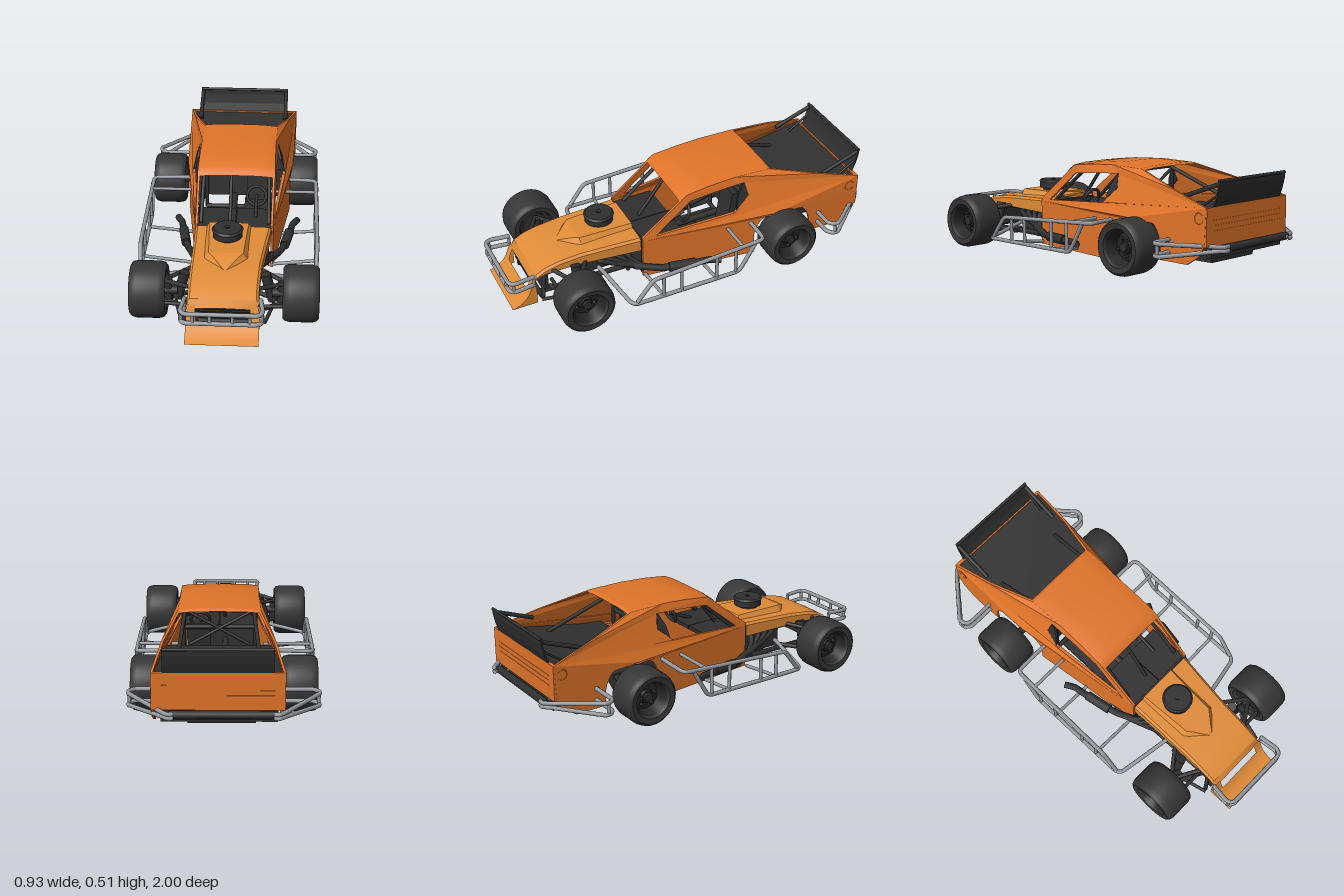
import * as THREE from 'three';
import { toCreasedNormals } from 'three/addons/utils/BufferGeometryUtils.js';

const mat = (name, color, side = THREE.FrontSide) => {
  const m = new THREE.MeshStandardMaterial({ color, side });
  m.name = name;
  return m;
};
const V = (x, y, z) => new THREE.Vector3(x, y, z);
const lerp = THREE.MathUtils.lerp;
const flatShape = pts => new THREE.Shape(pts.map(p => new THREE.Vector2(...p)));

export function createModel() {
  const car = new THREE.Group();
  const orange = mat('body orange', 0xe07429, THREE.DoubleSide);
  const amber = mat('hood amber', 0xe08c38, THREE.DoubleSide);
  const black = mat('chassis black', 0x303030, THREE.DoubleSide);
  const rubber = mat('tyre rubber', 0x363636);
  const rimDark = mat('rim dark', 0x262626, THREE.DoubleSide);
  const steel = mat('bar steel', 0x95989d);

  const add = (name, geo, m, x = 0, y = 0, z = 0, parent = car) => {
    const mesh = new THREE.Mesh(geo, m);
    mesh.name = name;
    mesh.position.set(x, y, z);
    parent.add(mesh);
    return mesh;
  };
  const box = (name, m, x0, x1, y0, y1, z0, z1) =>
    add(name, new THREE.BoxGeometry(x1 - x0, y1 - y0, z1 - z0), m, (x0 + x1) / 2, (y0 + y1) / 2, (z0 + z1) / 2);
  // Straight bar between two points
  const bar = (name, m, a, b, r = 0.009) => {
    const p = V(...a), q = V(...b), d = q.clone().sub(p);
    const mesh = add(name, new THREE.CylinderGeometry(r, r, d.length(), 10), m);
    mesh.position.copy(p).add(q).multiplyScalar(0.5);
    mesh.quaternion.setFromUnitVectors(V(0, 1, 0), d.normalize());
  };
  // Bent tube through points
  const pipe = (name, m, pts, r = 0.011, tension = 0.12) => {
    const curve = new THREE.CatmullRomCurve3(pts.map(p => V(...p)), false, 'catmullrom', tension);
    return add(name, new THREE.TubeGeometry(curve, pts.length * 10, r, 8), m);
  };
  const mirrorX = (s, pts, cx = 0) => pts.map(([x, y, z]) => [cx + s * x, y, z]);
  // Skin over rows of [x, y, z] points
  const loft = (name, m, rows, crease = 0.5) => {
    const n = rows[0].length, index = [];
    for (let i = 0; i < rows.length - 1; i++)
      for (let j = 0; j < n - 1; j++) {
        const a = i * n + j, c = a + n;
        index.push(a, c, a + 1, a + 1, c, c + 1);
      }
    const g = new THREE.BufferGeometry();
    g.setAttribute('position', new THREE.Float32BufferAttribute(rows.flat(2), 3));
    g.setIndex(index);
    return add(name, toCreasedNormals(g, crease), m);
  };

  // Body plan: widens to the rear, leans in towards the roof, offset to +x
  const CX = 0.025;
  const lean = z => z > 0.05 ? 0.14 : z > -0.44 ? lerp(0.14, 0.4, (0.05 - z) / 0.49) : lerp(0.4, 0, (-0.44 - z) / 0.5);
  const plan = z => z > -0.45 ? lerp(0.2, 0.296, (0.28 - z) / 0.73) : lerp(0.296, 0.31, (-0.45 - z) / 0.48);
  const halfWidth = (z, y) => plan(z) - Math.max(0, y - 0.27) * lean(z);
  const sidePanel = (name, m, s, pts, hole) => {
    const shape = flatShape(pts);
    if (hole) shape.holes.push(flatShape(hole));
    const g = new THREE.ExtrudeGeometry(shape, { depth: 0.012, bevelEnabled: false });
    const p = g.attributes.position;
    for (let i = 0; i < p.count; i++) {
      const z = p.getX(i), y = p.getY(i), w = p.getZ(i);
      p.setXYZ(i, CX + s * (halfWidth(z, y) - w), y, z);
    }
    if (s < 0) for (let i = 0; i < p.count; i += 3) {
      const a = V().fromBufferAttribute(p, i + 1), b = V().fromBufferAttribute(p, i + 2);
      p.setXYZ(i + 1, b.x, b.y, b.z);
      p.setXYZ(i + 2, a.x, a.y, a.z);
    }
    g.computeVertexNormals();
    add(name, g, m);
  };
  const arch = [];
  for (let i = 0; i <= 16; i++) {
    const a = lerp(-0.15, Math.PI + 0.05, i / 16);
    arch.push([-0.49 + 0.162 * Math.cos(a), Math.min(0.145 + 0.162 * Math.sin(a), 0.262)]);
  }
  for (const s of [-1, 1]) {
    sidePanel('lowerSide', orange, s, [[0.28, 0.27], [0.28, 0.04], [-0.33, 0.04], ...arch, [-0.65, 0.09], [-0.82, 0.09], [-0.9, 0.14], [-0.925, 0.19], [-0.93, 0.27], [-0.45, 0.27]]);
    sidePanel('upperSide', orange, s,
      [[0.28, 0.27], [0.28, 0.285], [0.03, 0.483], [-0.1, 0.498], [-0.25, 0.505], [-0.44, 0.5], [-0.7, 0.432], [-0.935, 0.368], [-0.93, 0.27], [-0.45, 0.27], [0.05, 0.27]],
      [[0.21, 0.285], [0.015, 0.443], [-0.14, 0.457], [-0.295, 0.465], [-0.308, 0.395], [-0.22, 0.318]]);
    sidePanel('quarterVent', black, s, [[-0.235, 0.33], [-0.25, 0.4], [-0.285, 0.462], [-0.295, 0.46], [-0.306, 0.396]]);
    const ring = add('fillerRing', new THREE.TorusGeometry(0.026, 0.003, 6, 24), orange, CX + s * halfWidth(-0.89, 0.31), 0.315, -0.89);
    ring.rotation.y = Math.PI / 2;
  }
  // Roof with a slight crown
  loft('roof', orange, [[-0.455, 0.49], [-0.44, 0.501], [-0.25, 0.506], [-0.1, 0.499], [0.03, 0.484], [0.06, 0.464], [0.072, 0.45]].map(([z, y]) =>
    [-1, -0.92, -0.6, 0, 0.6, 0.92, 1].map(t => [CX + t * halfWidth(z, y), y + 0.01 * (1 - t ** 4), z])));
  // Tail panel with faint ribs and dark tubular bumper
  box('tailPanel', orange, CX - 0.309, CX + 0.309, 0.185, 0.368, -0.938, -0.92);
  for (let i = 0; i < 3; i++) box('tailRib', orange, CX - 0.26, CX + 0.26, 0.255 + i * 0.025, 0.258 + i * 0.025, -0.94, -0.938);
  box('lowerTail', black, -0.25, 0.29, 0.125, 0.185, -0.93, -0.9);
  bar('rearBumper', black, [-0.25, 0.172, -0.962], [0.25, 0.172, -0.962], 0.02);
  box('fuelCell', black, -0.15, 0.17, 0.078, 0.22, -0.84, -0.66);

  // Rear deck, cockpit bulkhead and spoiler
  loft('rearDeck', black, [[-0.93, 0.362], [-0.46, 0.292], [-0.34, 0.285], [-0.32, 0.13]].map(([z, y]) =>
    [-1, 1].map(t => [CX + t * (halfWidth(z, y) - 0.013), y, z])), 0.1);
  const blade = flatShape([[-0.925, 0.362], [-0.945, 0.41], [-0.957, 0.46], [-0.96, 0.493], [-0.968, 0.493], [-0.965, 0.46], [-0.953, 0.41], [-0.935, 0.362]]);
  const spoiler = add('spoiler', new THREE.ExtrudeGeometry(blade, { depth: 0.51, bevelEnabled: false }), black, 0.28, 0, 0);
  spoiler.rotation.y = -Math.PI / 2;
  bar('spoilerLip', black, [-0.23, 0.49, -0.964], [0.28, 0.49, -0.964], 0.008);
  for (const x of [-0.22, 0.27]) {
    bar('spoilerStrut', black, [x, 0.4, -0.75], [x, 0.475, -0.958], 0.011);
    bar('spoilerStay', black, [x, 0.35, -0.84], [x, 0.42, -0.945], 0.006);
  }

  // Hood with rolled edges and dropped nose
  loft('hood', amber, [[0.285, -0.172, 0.215, 0.28], [0.45, -0.17, 0.195, 0.272], [0.6, -0.17, 0.178, 0.264], [0.72, -0.17, 0.172, 0.25],
    [0.79, -0.17, 0.17, 0.232], [0.84, -0.17, 0.17, 0.205], [0.862, -0.17, 0.17, 0.165]].map(([z, l, r, y]) => {
    const low = Math.min(0.205, y - 0.02);
    return [[l, low, z], [l, y - 0.012, z], [l + 0.012, y, z], [0, y + 0.004, z], [r - 0.012, y, z], [r, y - 0.012, z], [r, low, z]];
  }));
  loft('hoodScoop', amber, [[0.285, 0.13, 0.1, 0.303], [0.57, 0.118, 0.085, 0.297], [0.6, 0.095, 0.06, 0.29], [0.672, 0.006, 0.003, 0.258]].map(([z, b, t, y]) =>
    [[-b, 0.25, z], [-t, y, z], [t, y, z], [b, 0.25, z]]), 0.2);
  add('airCleanerBase', new THREE.CylinderGeometry(0.06, 0.055, 0.02, 32), black, 0, 0.306, 0.425);
  add('airCleaner', new THREE.CylinderGeometry(0.074, 0.074, 0.036, 32), black, 0, 0.33, 0.425);
  add('airCleanerLid', new THREE.CylinderGeometry(0.07, 0.079, 0.01, 32), black, 0, 0.351, 0.425);
  add('airCleanerNut', new THREE.CylinderGeometry(0.012, 0.012, 0.008, 12), black, 0, 0.358, 0.425);

  // Nose skirt with central opening and end plates
  const strip = (x0, x1, pts) => loft('noseSkirt', amber, pts.map(([z, y]) => [[x0, y, z], [x1, y, z]]), 0.7);
  strip(-0.175, 0.175, [[0.885, 0.11], [0.905, 0.08], [0.94, 0.055], [0.98, 0.04]]);
  for (const s of [-1, 1]) {
    strip(Math.min(s * 0.13, s * 0.175), Math.max(s * 0.13, s * 0.175), [[0.858, 0.185], [0.87, 0.15], [0.885, 0.11]]);
    const end = flatShape([[0.845, 0.16], [0.845, 0.04], [0.98, 0.04], [0.94, 0.055], [0.905, 0.08], [0.885, 0.11], [0.868, 0.155]]);
    const plate = add('skirtEnd', new THREE.ShapeGeometry(end), amber, s * 0.174, 0, 0);
    plate.rotation.y = -Math.PI / 2;
  }
  box('radiator', black, -0.14, 0.14, 0.07, 0.19, 0.77, 0.8);
  for (let i = 0; i < 3; i++) box('grilleBar', black, -0.13, 0.13, 0.118 + i * 0.017, 0.124 + i * 0.017, 0.845, 0.852);

  // Front bumper
  for (const y of [0.169, 0.219]) pipe('frontBumper', steel, [[-0.18, y, 0.855], [-0.192, y, 0.95], [-0.185, y, 0.975], [-0.16, y, 0.988], [0.16, y, 0.988], [0.185, y, 0.975], [0.192, y, 0.95], [0.18, y, 0.855]], 0.011);
  for (const [x, z] of [[0.053, 0.987], [0.133, 0.987], [0.187, 0.968], [0.181, 0.86]])
    for (const s of [-1, 1]) bar('bumperPost', steel, [s * x, 0.169, z], [s * x, 0.219, z], 0.009);

  for (const s of [-1, 1]) {
    const B = (name, m, a, b, r) => bar(name, m, ...mirrorX(s, [a, b]), r);
    // Side guard rails
    pipe('sideRailTop', steel, mirrorX(s, [[0.25, 0.245, -0.305], [0.42, 0.24, -0.305], [0.447, 0.238, -0.28], [0.45, 0.205, 0.3], [0.45, 0.192, 0.335], [0.446, 0.09, 0.415]]));
    pipe('sideRailLow', steel, mirrorX(s, [[0.15, 0.13, 0.5], [0.2, 0.125, 0.49], [0.42, 0.085, 0.445], [0.448, 0.08, 0.41], [0.45, 0.08, -0.13], [0.45, 0.095, -0.17], [0.45, 0.232, -0.25]]));
    for (const z of [0.27, 0.17, -0.03, -0.14]) B('railPost', steel, [0.45, 0.08, z], [0.45, 0.205 + (0.31 - z) * 0.055, z]);
    for (const [z, y0, y1] of [[0.27, 0.05, 0.08], [-0.03, 0.055, 0.08], [-0.18, 0.235, 0.235]]) B('railBrace', steel, [0.2, y0, z], [0.45, y1, z]);
    // Rear corner guards
    for (const [y, yb] of [[0.195, 0.185], [0.135, 0.165]])
      pipe('rearGuard', steel, mirrorX(s, [[0.26, y, -0.705], [0.42, y, -0.705], [0.448, y, -0.725], [0.45, y, -0.76], [0.28, yb, -0.965], [0.255, yb, -0.988], [0.23, yb, -0.985]]));
    B('guardPost', steel, [0.45, 0.135, -0.74], [0.45, 0.195, -0.74]);
    B('guardBrace', steel, [0.2, 0.17, -0.9], [0.24, 0.17, -0.985]);

    // Wheels
    for (const z of [0.67, -0.49]) {
      const wheel = new THREE.Group();
      wheel.name = 'wheel';
      wheel.position.set(s * 0.37, 0.141, z);
      wheel.rotation.z = -s * Math.PI / 2;
      car.add(wheel);
      const profile = [[0.088, -0.07], [0.095, -0.084], [0.122, -0.088], [0.134, -0.078], [0.14, -0.055], [0.14, 0.055], [0.134, 0.078], [0.122, 0.088], [0.095, 0.084], [0.088, 0.07]];
      add('tyre', toCreasedNormals(new THREE.LatheGeometry(profile.map(p => new THREE.Vector2(...p)), 40), 0.7), rubber, 0, 0, 0, wheel);
      const rim = [[0, 0.03], [0.03, 0.03], [0.035, 0.015], [0.07, 0.01], [0.08, 0.05], [0.09, 0.074], [0.086, 0.05], [0.084, -0.05], [0.09, -0.074]];
      add('rim', toCreasedNormals(new THREE.LatheGeometry(rim.map(p => new THREE.Vector2(...p)), 32), 0.6), rimDark, 0, 0, 0, wheel);
      for (let i = 0; i < 5; i++) {
        const a = i * Math.PI * 0.4;
        add('wheelNut', new THREE.CylinderGeometry(0.009, 0.009, 0.02, 6), black, 0.048 * Math.cos(a), 0.022, 0.048 * Math.sin(a), wheel);
      }
      add('hub', new THREE.CylinderGeometry(0.022, 0.022, 0.06, 16), black, 0, 0.015, 0, wheel);
      add('brakeDisc', new THREE.CylinderGeometry(0.065, 0.065, 0.012, 24), black, 0, -0.05, 0, wheel);
    }
    // Front suspension
    for (const z of [0.56, 0.76]) {
      B('upperArm', black, [0.15, 0.215, z], [0.3, 0.195, 0.67], 0.011);
      B('lowerArm', black, [0.12, 0.08, z], [0.3, 0.085, 0.67], 0.012);
    }
    B('upright', black, [0.275, 0.075, 0.67], [0.275, 0.205, 0.67], 0.02);
    B('axleStub', black, [0.23, 0.141, 0.67], [0.31, 0.141, 0.67], 0.022);
    B('frontShock', black, [0.195, 0.225, 0.64], [0.235, 0.08, 0.64], 0.026);
    B('steeringRod', black, [0.1, 0.1, 0.74], [0.3, 0.11, 0.74], 0.01);
    B('swayArm', black, [0.2, 0.075, 0.83], [0.24, 0.085, 0.68], 0.009);
    // Chassis rails
    pipe('mainRail', black, mirrorX(s, [[0.13, 0.07, 0.84], [0.14, 0.07, 0.35], [0.18, 0.055, 0.2], [0.19, 0.055, -0.3], [0.18, 0.2, -0.42], [0.18, 0.2, -0.58], [0.17, 0.14, -0.9]]), 0.014);
    pipe('upperRail', black, mirrorX(s, [[0.19, 0.07, 0.82], [0.16, 0.2, 0.79], [0.15, 0.205, 0.5], [0.15, 0.21, 0.28]]), 0.011);
    // Rear suspension and frame
    B('trailingArm', black, [0.17, 0.07, -0.15], [0.22, 0.11, -0.47], 0.011);
    B('rearShock', black, [0.2, 0.1, -0.53], [0.16, 0.26, -0.6], 0.02);
    B('rearFrame', black, [0.2, 0.06, -0.32], [0.06, 0.24, -0.6], 0.01);
    B('rearFrame', black, [0.24, 0.28, -0.62], [0.2, 0.13, -0.9], 0.01);
    // Exhaust headers and side pipes
    for (let i = 0; i < 4; i++)
      pipe('header', black, mirrorX(s, [[0.08, 0.19, 0.36 + i * 0.05], [0.15, 0.185, 0.35 + i * 0.05], [0.18, 0.15, 0.33 + i * 0.025], [0.215, 0.115, 0.28]], CX * 0.7), 0.014, 0.4);
    pipe('sidePipe', black, mirrorX(s, [[0.195, 0.125, 0.33], [0.245, 0.1, 0.2], [0.285, 0.1, 0.02], [0.298, 0.1, -0.06], [0.325, 0.1, -0.11]], CX), 0.018);
    bar('muffler', black, ...mirrorX(s, [[0.258, 0.1, 0.16], [0.283, 0.1, 0.02]], CX), 0.026);
    // Roll cage
    pipe('cageSide', black, mirrorX(s, [[0.175, 0.26, 0.22], [0.17, 0.455, -0.01], [0.18, 0.475, -0.3], [0.18, 0.06, -0.31]], CX), 0.01);
    bar('cageRear', black, ...mirrorX(s, [[0.17, 0.47, -0.31], [0.2, 0.32, -0.7]], CX), 0.01);
    bar('cageDiagonal', black, [CX + s * 0.17, 0.46, -0.31], [CX - s * 0.15, 0.29, -0.34], 0.008);
  }
  for (const [y, z] of [[0.455, 0], [0.475, -0.3], [0.37, -0.305]]) bar('cageCross', black, [CX - 0.175, y, z], [CX + 0.175, y, z], 0.011);
  bar('windscreenPost', black, [0, 0.465, 0.04], [0, 0.26, 0.2], 0.009);
  bar('rearAxle', black, [-0.32, 0.141, -0.49], [0.32, 0.141, -0.49], 0.022);
  add('differential', new THREE.SphereGeometry(0.06, 20, 14), black, 0, 0.141, -0.49);
  bar('driveShaft', black, [0, 0.13, -0.45], [0, 0.12, 0.2], 0.018);
  for (const z of [0.82, 0.56, 0.34, -0.3, -0.7, -0.88]) bar('crossMember', black, [-0.16, z < -0.4 ? 0.16 : 0.07, z], [0.17, z < -0.4 ? 0.16 : 0.07, z], 0.012);

  // Engine, floor and cockpit
  box('engineBlock', black, -0.08, 0.08, 0.06, 0.21, 0.3, 0.58);
  box('engineTop', black, -0.1, 0.1, 0.18, 0.25, 0.33, 0.54);
  box('sump', black, -0.06, 0.06, 0.035, 0.07, 0.32, 0.5);
  box('floorPan', black, -0.13, 0.17, 0.042, 0.055, -0.32, 0.28);
  box('firewall', black, -0.16, 0.205, 0.05, 0.265, 0.27, 0.28);
  box('dashLeft', black, 0.032, 0.22, 0.235, 0.255, 0.05, 0.28);
  box('dashRight', black, -0.17, 0.028, 0.235, 0.255, 0.05, 0.28);
  box('seatBase', black, 0.06, 0.2, 0.06, 0.16, -0.25, -0.1);
  const back = box('seatBack', black, 0.07, 0.19, 0.13, 0.37, -0.27, -0.235);
  back.rotation.x = -0.15;
  const steering = add('steeringWheel', new THREE.TorusGeometry(0.05, 0.008, 8, 28), black, 0.13, 0.305, 0.0);
  steering.rotation.x = -0.4;
  bar('steeringColumn', black, [0.13, 0.305, 0], [0.13, 0.25, 0.14], 0.009);
  return car;
}
